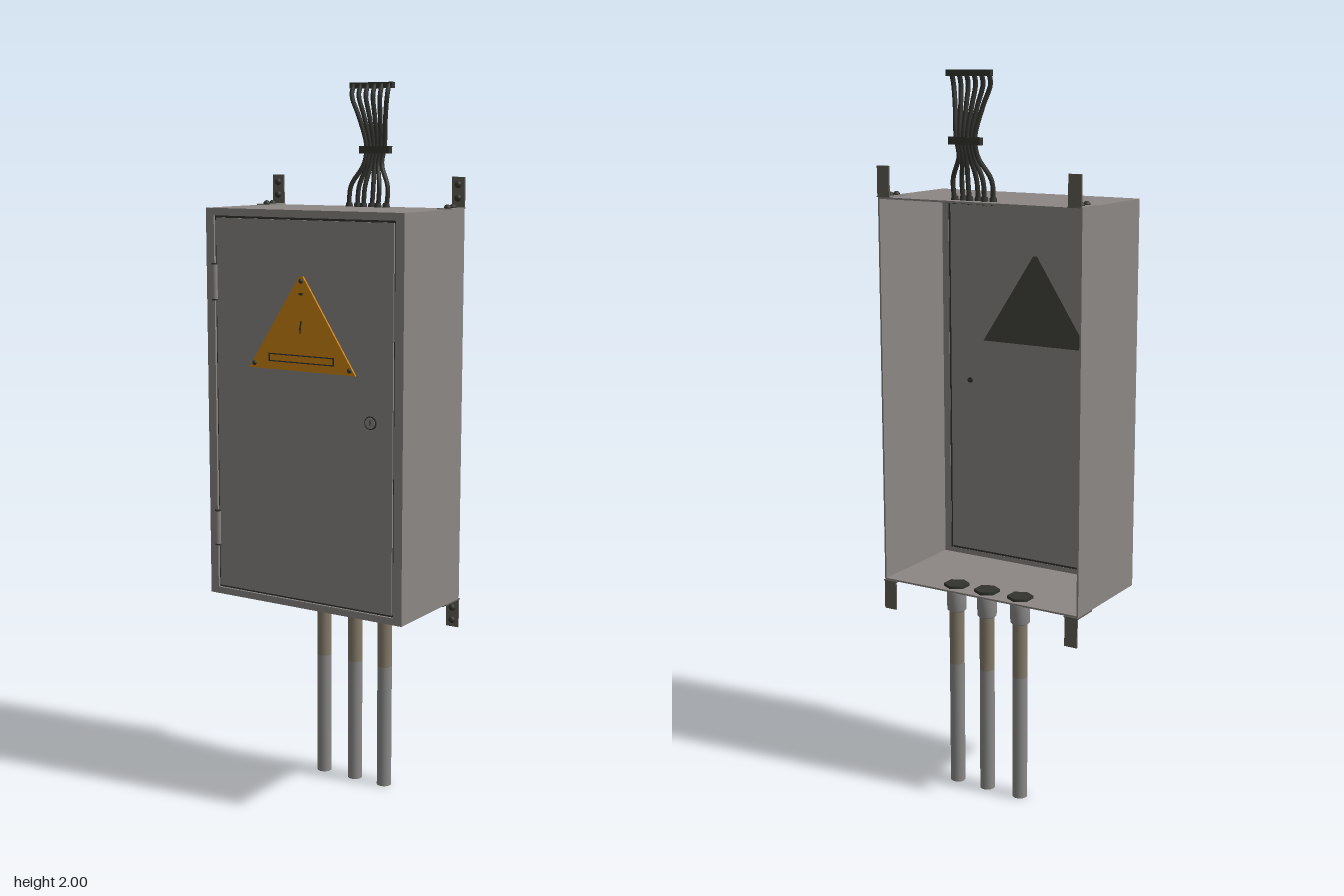
import * as THREE from 'three';

export function createModel() {
  const root = new THREE.Group();
  root.name = 'electricalCabinet';
  const mat = (name, color, double) => {
    const m = new THREE.MeshStandardMaterial({ color });
    m.name = name;
    if (double) m.side = THREE.DoubleSide;
    return m;
  };
  const grey = mat('cabinetGrey', 0x8c8785);
  const orange = mat('signOrange', 0xcc8410);
  const dark = mat('darkRubber', 0x33342f);
  const steel = mat('bracketSteel', 0x625d53);
  const pipeGrey = mat('pipeGrey', 0x8b8a89, true);
  const rust = mat('stainedPipe', 0x857b6a, true);
  const signBack = mat('signShade', 0x44453e);

  const add = (name, geo, material, x = 0, y = 0, z = 0, parent = root) => {
    const mesh = new THREE.Mesh(geo, material);
    mesh.name = name;
    mesh.position.set(x, y, z);
    parent.add(mesh);
    return mesh;
  };
  const box = (name, w, h, d, material, x, y, z, parent) =>
    add(name, new THREE.BoxGeometry(w, h, d), material, x, y, z, parent);
  // Rounded bolt head pointing along +y, turned by the caller
  const bolt = (r, x, y, z, parent, rx = 0) => {
    const m = add('bolt', new THREE.SphereGeometry(r, 12, 5, 0, Math.PI * 2, 0, Math.PI / 2), dark, x, y, z, parent);
    m.rotation.x = rx;
    return m;
  };
  const poly = pts => new THREE.Shape(pts.map(p => new THREE.Vector2(p[0], p[1])));
  const rect = (x0, y0, x1, y1) => [[x0, y0], [x1, y0], [x1, y1], [x0, y1]];
  const extrude = (shape, depth) => new THREE.ExtrudeGeometry(shape, { depth, bevelEnabled: false });

  // Cabinet shell, open at the back
  const X = 0.313, Y0 = 0.583, Y1 = 1.665, ZB = -0.163, ZF = 0.155, T = 0.005;
  const midZ = (ZB + ZF) / 2, depth = ZF - ZB, midY = (Y0 + Y1) / 2;
  for (const s of [-1, 1])
    box('sideWall', T, Y1 - Y0, depth, grey, s * (X - T / 2), midY, midZ);
  box('topWall', 2 * X - 2 * T, T, depth, grey, 0, Y1 - T / 2, midZ);
  box('bottomWall', 2 * X - 2 * T, T, depth, grey, 0, Y0 + T / 2, midZ);

  // Front frame, door and the dark gap around the door
  const opening = rect(-0.287, 0.602, 0.287, 1.645);
  const frame = poly(rect(-X + T, Y0 + T, X - T, Y1 - T));
  frame.holes.push(poly(opening));
  add('frontFrame', extrude(frame, 0.012), grey, 0, 0, ZF - 0.012);
  box('door', 0.562, 1.031, 0.01, grey, 0, 1.1235, ZF - 0.007);
  const seal = poly(opening);
  seal.holes.push(poly(rect(-0.281, 0.608, 0.281, 1.639)));
  add('doorSeal', extrude(seal, 0.004), dark, 0, 0, ZF - 0.011);

  // Hinges
  for (const y of [1.465, 0.775]) {
    const hinge = new THREE.Group();
    hinge.name = 'hinge';
    hinge.position.set(-0.287, y, ZF);
    root.add(hinge);
    add('hingeBarrel', new THREE.CylinderGeometry(0.009, 0.009, 0.096, 12), grey, 0, 0, -0.002, hinge);
    for (const s of [-1, 1])
      add('hingeCap', new THREE.CylinderGeometry(0.0095, 0.0095, 0.004, 12), dark, 0, s * 0.049, -0.002, hinge);
  }

  // Door lock
  const disc = (name, r, d, m, x, y, z) => {
    add(name, new THREE.CylinderGeometry(r, r, d, 20), m, x, y, z).rotation.x = Math.PI / 2;
  };
  disc('lockRim', 0.018, 0.006, dark, 0.215, 1.12, ZF - 0.001);
  disc('lockFace', 0.015, 0.008, grey, 0.215, 1.12, ZF - 0.001);
  box('lockSlot', 0.003, 0.014, 0.001, dark, 0.215, 1.12, ZF + 0.0032);
  disc('lockBack', 0.008, 0.006, dark, 0.215, 1.12, ZF - 0.014);

  // Triangular warning plate with bolts and raised panel
  const tri = poly([[-0.17, 1.24], [0.17, 1.24], [0.006, 1.492], [-0.006, 1.492]]);
  add('warningPlate', extrude(tri, 0.006), orange, 0, 0, ZF - 0.002);
  add('warningPlateBack', extrude(tri, 0.001), signBack, 0, 0, ZF - 0.0135);
  for (const [x, y] of [[0, 1.48], [-0.152, 1.253], [0.152, 1.253]])
    bolt(0.007, x, y, ZF + 0.003, root, Math.PI / 2);
  const rim = poly(rect(-0.105, 1.261, 0.105, 1.283));
  rim.holes.push(poly(rect(-0.101, 1.264, 0.101, 1.280)));
  add('plateOutline', extrude(rim, 0.001), dark, 0, 0, ZF + 0.004);
  const flash = poly([[-0.004, 1.34], [-0.001, 1.34], [0.0, 1.358], [0.003, 1.375], [-0.001, 1.375], [-0.005, 1.355]]);
  add('flashMark', extrude(flash, 0.001), dark, 0, 0, ZF + 0.004);
  box('plateMark', 0.012, 0.006, 0.001, dark, 0, 1.446, ZF + 0.0045);

  // L-shaped mounting brackets at the four back corners
  for (const sx of [-1, 1]) for (const sy of [-1, 1]) {
    const b = new THREE.Group();
    b.name = 'mountingBracket';
    b.position.set(sx * 0.293, sy > 0 ? Y1 : Y0, 0);
    root.add(b);
    box('bracketUpright', 0.038, 0.084, 0.005, steel, 0, sy * 0.042, -0.1645, b);
    box('bracketFoot', 0.044, 0.003, 0.08, sy > 0 ? grey : steel, 0, sy * 0.0015, -0.127, b);
    for (const z of [-0.133, -0.104])
      bolt(0.010, 0, sy * 0.003, z, b, sy > 0 ? 0 : Math.PI);
    for (const y of [0.028, 0.064])
      bolt(0.010, 0, sy * y, -0.162, b, Math.PI / 2);
  }

  // Three conduits with collars under the cabinet
  for (const x of [-0.107, 0, 0.1]) {
    const p = new THREE.Group();
    p.name = 'conduit';
    p.position.set(x, 0, -0.117);
    root.add(p);
    add('pipe', new THREE.CylinderGeometry(0.021, 0.021, 0.36, 20, 1, true), pipeGrey, 0, 0.18, 0, p);
    add('stainedPipe', new THREE.CylinderGeometry(0.021, 0.021, 0.17, 20, 1, true), rust, 0, 0.445, 0, p);
    const profile = [[0.021, 0.515], [0.027, 0.52], [0.028, 0.57], [0.024, 0.573], [0.024, 0.584]];
    add('collar', new THREE.LatheGeometry(profile.map(q => new THREE.Vector2(...q)), 20), pipeGrey, 0, 0, 0, p);
    add('innerNut', new THREE.CylinderGeometry(0.036, 0.036, 0.008, 6), dark, 0, Y0 + T + 0.004, 0, p);
  }

  // Bundle of wires leaving through the top, gathered by a tie
  for (let i = 0; i < 6; i++) {
    const t = i / 5;
    const xb = -0.027 + 0.115 * t, xm = 0.012 + 0.058 * t, xt = -0.026 + 0.113 * t;
    const wobble = (i % 2) * 0.006;
    const path = new THREE.CatmullRomCurve3([
      [xb, 1.655, -0.123 - wobble], [xb + 0.003, 1.72, -0.126 - wobble],
      [xm - 0.004, 1.78, -0.142], [xm, 1.83, -0.149],
      [(xm + xt) / 2, 1.91, -0.139], [xt, 1.965, -0.133], [xt, 1.995, -0.143],
    ].map(q => new THREE.Vector3(...q)));
    add('wire', new THREE.TubeGeometry(path, 28, 0.0065, 8), dark);
    add('wireGland', new THREE.CylinderGeometry(0.009, 0.011, 0.012, 10), dark, xb, Y1 + 0.005, -0.123 - wobble);
  }
  box('wireTie', 0.096, 0.02, 0.017, dark, 0.042, 1.82, -0.148);
  box('topClamp', 0.136, 0.016, 0.014, dark, 0.031, 1.992, -0.146);

  return root;
}
